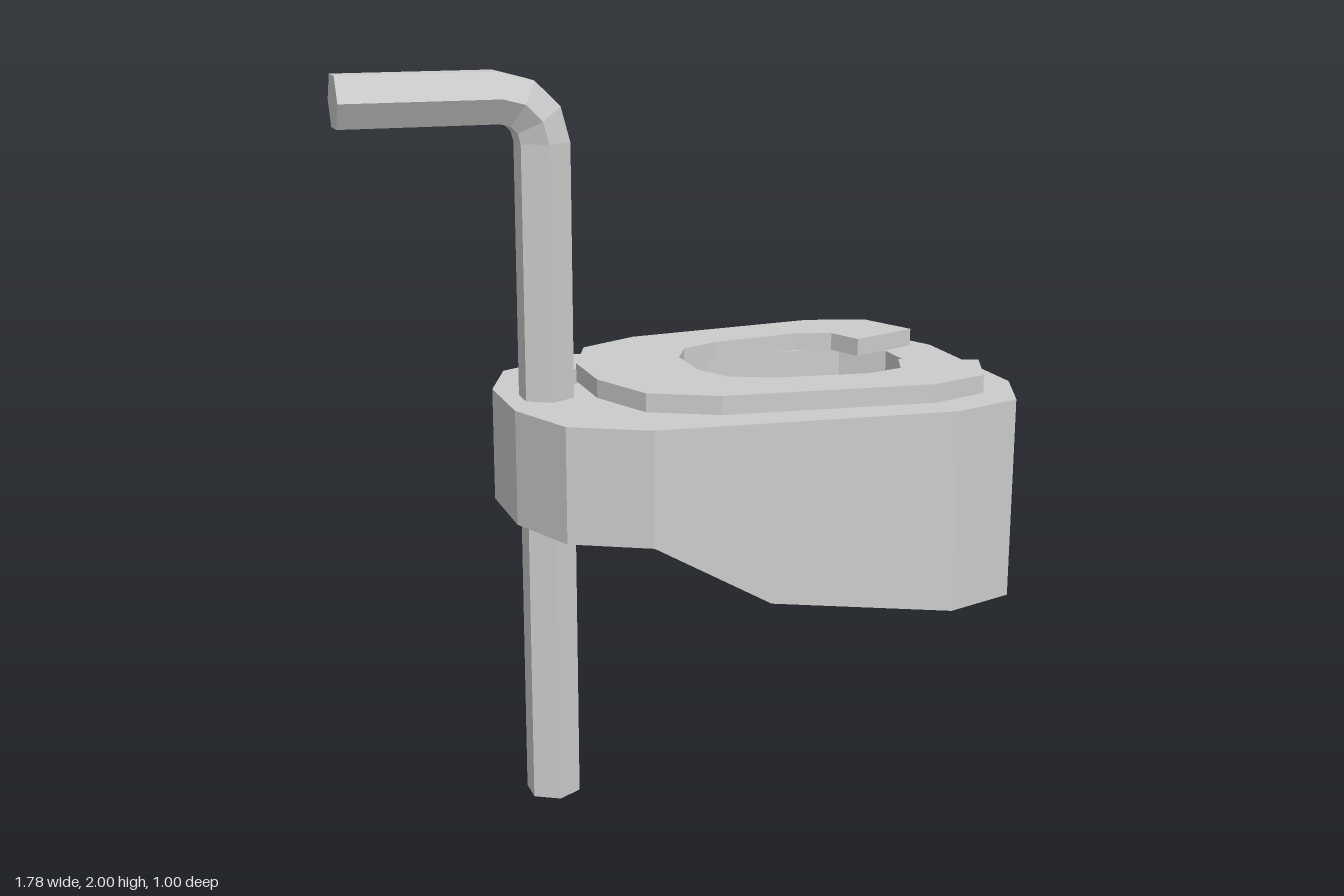
import * as THREE from 'three';

const material = new THREE.MeshStandardMaterial({ color: 0xcccccc, flatShading: true });

// Skin a list of rings (counter-clockwise about the direction of travel).
function loft(rings, { skip = -1, caps = [true, true] } = {}) {
  const pos = [];
  const tri = (a, b, c) => pos.push(...a, ...b, ...c);
  for (let i = 0; i < rings.length - 1; i++) {
    const A = rings[i], B = rings[i + 1], n = A.length;
    for (let j = 0; j < n; j++) {
      if (j === skip) continue;
      const k = (j + 1) % n;
      tri(A[j], A[k], B[k]);
      tri(A[j], B[k], B[j]);
    }
  }
  const first = rings[0], last = rings[rings.length - 1];
  for (let j = 1; j < first.length - 1; j++) {
    if (caps[0]) tri(first[0], first[j + 1], first[j]);
    if (caps[1]) tri(last[0], last[j], last[j + 1]);
  }
  const g = new THREE.BufferGeometry();
  g.setAttribute('position', new THREE.Float32BufferAttribute(pos, 3));
  g.computeVertexNormals();
  return g;
}

// Full outline from its z > 0 half, listed from +x to -x.
const mirror = (half) => [...half, ...half.slice().reverse().map(([x, z]) => [x, -z])];
const toPoints = (outline) => outline.map(([x, z]) => new THREE.Vector2(x, -z));

// Flat plate with a plan outline in (x, z).
function plate(outline, y0, y1) {
  return new THREE.ExtrudeGeometry(new THREE.Shape(toPoints(outline)), { depth: y1 - y0, bevelEnabled: false })
    .rotateX(-Math.PI / 2).translate(0, y0, 0);
}

export function createModel() {
  const model = new THREE.Group();
  const add = (name, geometry, parent = model) => {
    const mesh = new THREE.Mesh(geometry, material);
    mesh.name = name;
    parent.add(mesh);
  };

  // Body: cross-sections along x as [x, half width, bottom height]
  const top = 1.14, floor = 0.99;
  const sections = [
    [-0.48, 0.125, 0.83], [-0.4, 0.325, 0.83], [-0.2, 0.43, 0.83], [0.11, 0.457, 0.655],
    [0.61, 0.5, 0.59], [0.81, 0.435, 0.59], [0.89, 0.245, 0.59],
  ];
  const body = new THREE.Group();
  body.name = 'body';
  model.add(body);
  add('bodyShell', loft(sections.map(([x, w, b]) =>
    [[x, top, -w], [x, top, w], [x, b, w], [x, b, -w]]), { skip: 0 }), body);

  // Body top with the bowl opening
  const opening = mirror([[0.73, 0.21], [0.62, 0.3], [0.2, 0.29], [0.04, 0.22], [-0.02, 0.1]]);
  const rim = new THREE.Shape(toPoints(mirror(sections.map(([x, w]) => [x, w]).reverse())));
  rim.holes.push(new THREE.Path(toPoints(opening)));
  add('bodyTop', new THREE.ShapeGeometry(rim).rotateX(-Math.PI / 2).translate(0, top, 0), body);

  // Bowl: inward-facing walls and floor
  add('bowl', loft([floor, top].map((y) => opening.map(([x, z]) => [x, y, z])), { caps: [true, false] }), body);

  // Horseshoe seat, open towards +x
  const outer = mirror([[0.81, 0.215], [0.74, 0.38], [0.57, 0.435], [0, 0.375], [-0.175, 0.285], [-0.25, 0.1]]);
  const inner = mirror([[0.605, 0.135], [0.565, 0.235], [0.46, 0.265], [0.2, 0.23], [0.09, 0.18], [0.04, 0.08]]);
  add('seat', plate([...outer, ...inner.reverse()], 1.15, 1.2));

  // Small tab beside the rod, tucked against the seat
  add('tab', plate([[-0.37, -0.22], [-0.2, -0.295], [-0.17, -0.283], [-0.24, -0.11], [-0.37, -0.17]], 1.14, 1.18));

  // Hexagonal rod, bent into a handle
  const hex = (x, y, t) => Array.from({ length: 6 }, (_, i) => {
    const a = Math.PI / 6 + i * Math.PI / 3, r = 0.076;
    const n = r * Math.cos(a);
    return [x - n * Math.cos(t), y - n * Math.sin(t), r * Math.sin(a)];
  });
  const stations = [hex(-0.362, 0, 0)];
  for (let i = 0; i <= 3; i++) {
    const t = i * Math.PI / 6;
    stations.push(hex(-0.48 + 0.118 * Math.cos(t), 1.816 + 0.118 * Math.sin(t), t));
  }
  stations.push(hex(-0.895, 1.934, Math.PI / 2));
  add('rod', loft(stations));

  return model;
}
